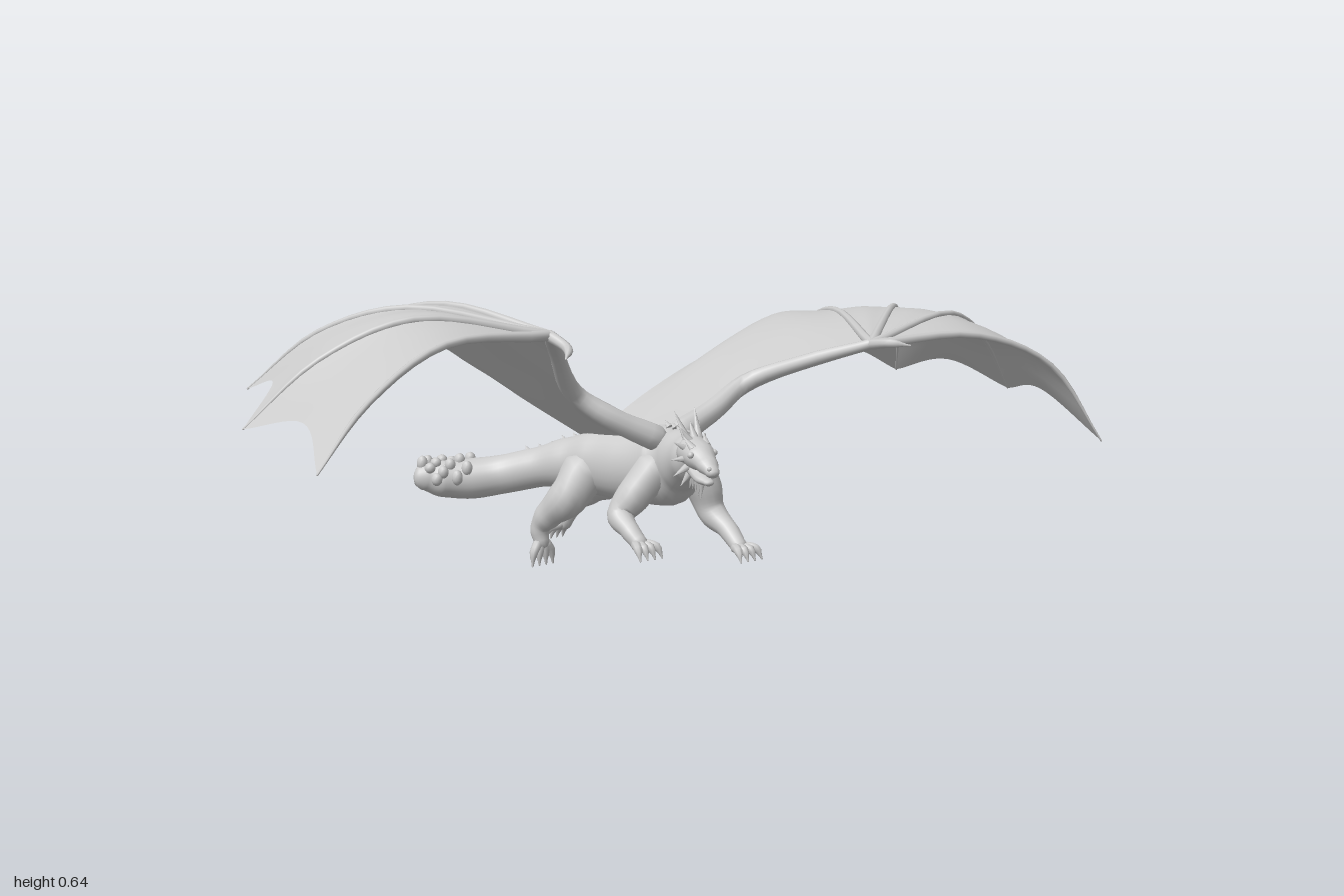
import * as THREE from 'three';

const grey = new THREE.MeshStandardMaterial({ color: 0xcccccc });
const thin = new THREE.MeshStandardMaterial({ color: 0xcccccc, side: THREE.DoubleSide });
const V = (p) => new THREE.Vector3(p[0], p[1], p[2]);
const spline = (pts) => new THREE.CatmullRomCurve3(pts.map(V));

function add(parent, name, geometry, material = grey) {
  const mesh = new THREE.Mesh(geometry, material);
  mesh.name = name;
  parent.add(mesh);
  return mesh;
}

// Smooth rounded body along a path; each point is [x, y, z, halfWidth, halfHeight]
function sweep(pts, sides = 14, perSpan = 5) {
  const curve = spline(pts), n = (pts.length - 1) * perSpan;
  const dir = V(pts[pts.length - 1]).sub(V(pts[0])).normalize();
  const ref = Math.abs(dir.y) > 0.6 ? new THREE.Vector3(1, 0, 0) : new THREE.Vector3(0, 1, 0);
  const size = (t, k) => {
    const f = t * (pts.length - 1), i = Math.min(Math.floor(f), pts.length - 2);
    const val = (p) => p[k] ?? p[3];
    return THREE.MathUtils.lerp(val(pts[i]), val(pts[i + 1]), THREE.MathUtils.smoothstep(f - i, 0, 1));
  };
  const rings = [];
  for (const a of [0, 0.35, 0.7]) rings.push([0, a, -1]);
  for (let i = 0; i <= n; i++) rings.push([i / n, 1, 0]);
  for (const a of [0.7, 0.35, 0]) rings.push([1, a, 1]);
  const pos = [], idx = [];
  rings.forEach(([t, scale, end], i) => {
    const w = size(t, 3), h = size(t, 4), tan = curve.getTangent(t);
    const s = ref.clone().cross(tan).normalize(), u = tan.clone().cross(s);
    const c = curve.getPoint(t).addScaledVector(tan, end * Math.min(w, h) * 0.75 * Math.sqrt(1 - scale * scale));
    for (let j = 0; j < sides; j++) {
      const a = (j / sides) * Math.PI * 2;
      const p = c.clone().addScaledVector(s, w * scale * Math.cos(a)).addScaledVector(u, h * scale * Math.sin(a));
      pos.push(p.x, p.y, p.z);
      if (i < rings.length - 1) {
        const k = (j + 1) % sides, A = i * sides, B = A + sides;
        idx.push(A + j, A + k, B + j, A + k, B + k, B + j);
      }
    }
  });
  return surface(pos, idx);
}

function surface(pos, idx) {
  const g = new THREE.BufferGeometry();
  g.setAttribute('position', new THREE.Float32BufferAttribute(pos, 3));
  g.setIndex(idx);
  g.computeVertexNormals();
  return g;
}

// Skin stretched between four edge curves (c0, c1 run in s; d0, d1 run in t)
function patch(c0, c1, d0, d1, sag, n = 16) {
  const pos = [], idx = [], corner = [c0(0), c0(1), c1(0), c1(1)];
  for (let i = 0; i <= n; i++) for (let j = 0; j <= n; j++) {
    const s = i / n, t = j / n;
    const p = c0(s).clone().multiplyScalar(1 - t).addScaledVector(c1(s), t)
      .addScaledVector(d0(t), 1 - s).addScaledVector(d1(t), s)
      .addScaledVector(corner[0], -(1 - s) * (1 - t)).addScaledVector(corner[1], -s * (1 - t))
      .addScaledVector(corner[2], -(1 - s) * t).addScaledVector(corner[3], -s * t);
    p.y -= sag * Math.sin(Math.PI * s) * Math.sin(Math.PI * t);
    pos.push(p.x, p.y, p.z);
    if (i < n && j < n) {
      const a = i * (n + 1) + j, b = a + n + 1;
      idx.push(a, b, a + 1, b, b + 1, a + 1);
    }
  }
  return surface(pos, idx);
}

// Pointed spike from a base point along a direction
function spike(parent, name, base, dir, length, radius) {
  const d = V(dir).normalize();
  const m = add(parent, name, new THREE.ConeGeometry(radius, length, 7));
  m.quaternion.setFromUnitVectors(new THREE.Vector3(0, 1, 0), d);
  m.position.copy(V(base)).addScaledVector(d, length * 0.45);
}

// Wing: arm runs wrist to shoulder, fingers fan out from the wrist, back edge runs in to the body
function wing(name, arm, thumb, fingers, trailing) {
  const g = new THREE.Group();
  g.name = name;
  const wrist = arm[0], curves = fingers.map((f) => spline([wrist, ...f]));
  const at = (c) => (t) => c.getPoint(t);
  const armCurve = spline(arm);
  const tip = fingers[0][fingers[0].length - 1], root = trailing[trailing.length - 1];
  const bodyLine = new THREE.LineCurve3(V(arm[arm.length - 1]), V(root));
  add(g, 'innerMembrane', patch(at(armCurve), at(spline([tip, ...trailing])), at(curves[0]), at(bodyLine), 0.01, 22), thin);
  for (let i = 0; i < curves.length - 1; i++) {
    const a = curves[i], b = curves[i + 1];
    const mid = a.getPoint(0.87).lerp(b.getPoint(0.87), 0.5);
    const edge = new THREE.CatmullRomCurve3([a.getPoint(1), mid, b.getPoint(1)]);
    add(g, 'outerMembrane', patch(() => V(wrist), at(edge), at(a), at(b), 0.016), thin);
  }
  const last = arm.length - 1;
  add(g, 'wingArm', sweep(arm.map((p, i) => [...p, 0.012 + 0.017 * i / last]), 10));
  fingers.forEach((f) => add(g, 'wingFinger',
    sweep([wrist, ...f].map((p, i) => [...p, [0.011, 0.008, 0.006, 0.002][i]]), 8)));
  add(g, 'thumbClaw', sweep([[...wrist, 0.012], [...thumb[0], 0.01], [...thumb[1], 0.002]], 8));
  return g;
}

// Leg with four spread toes and claws
function leg(name, pts, toeDir) {
  const g = new THREE.Group();
  g.name = name;
  add(g, 'limb', sweep(pts));
  const foot = V(pts[pts.length - 1]), d = V(toeDir).normalize();
  const across = new THREE.Vector3(1, 0, 0).addScaledVector(d, -d.x).normalize();
  for (let i = 0; i < 4; i++) {
    const k = (i - 1.5) / 1.5;
    const b = foot.clone().addScaledVector(across, k * 0.012);
    const m = b.clone().addScaledVector(d, 0.026).addScaledVector(across, k * 0.014);
    m.y += 0.008;
    const e = m.clone().addScaledVector(d, 0.015).addScaledVector(across, k * 0.005);
    e.y -= 0.016;
    add(g, 'toe', sweep([[...b, 0.011], [...m, 0.0095], [...e, 0.002]], 8, 3));
  }
  return g;
}

export function createModel() {
  const model = new THREE.Group();

  // Neck, trunk and tail in one smooth form
  const trunk = [
    [-0.06, 0.305, 0.17, 0.034, 0.036], [-0.035, 0.29, 0.125, 0.044, 0.05], [0, 0.273, 0.07, 0.056, 0.066],
    [0.02, 0.25, 0.01, 0.072, 0.088], [0.015, 0.235, -0.09, 0.069, 0.08], [0.005, 0.23, -0.18, 0.063, 0.073],
    [-0.012, 0.222, -0.25, 0.052, 0.057], [-0.04, 0.205, -0.325, 0.042, 0.045], [-0.08, 0.184, -0.4, 0.04, 0.044],
    [-0.13, 0.175, -0.45, 0.043, 0.046], [-0.18, 0.177, -0.489, 0.043, 0.042], [-0.222, 0.185, -0.51, 0.026, 0.03]];
  add(model, 'body', sweep(trunk, 24, 6));

  // Row of small spines along the back
  const back = spline(trunk), tops = spline(trunk.map((p) => [p[4], p[3], 0]));
  for (let i = 0; i < 18; i++) {
    const t = 0.1 + i * 0.033, p = back.getPoint(t), h = tops.getPoint(t).x;
    spike(model, 'backSpine', [p.x, p.y + h - 0.005, p.z], [0, 1, -1], 0.013 + 0.003 * (i % 3), 0.008);
  }

  // Knobs scattered over the tail club
  for (let i = 0; i < 18; i++) {
    const t = 0.81 + 0.19 * (i / 17), a = ((i * 0.382) % 1 - 0.5) * 3.2;
    const r = tops.getPoint(t), tan = back.getTangent(t);
    const side = new THREE.Vector3(0, 1, 0).cross(tan).normalize();
    const knob = add(model, 'tailKnob', new THREE.DodecahedronGeometry(0.0125, 1));
    knob.scale.set(1, 1 + 0.2 * (i % 3), 1);
    knob.position.copy(back.getPoint(t)).addScaledVector(side, r.y * Math.sin(a));
    knob.position.y += r.x * Math.cos(a);
  }

  // Head: skull, jaw, eyes, brow and crown of horns
  const head = new THREE.Group();
  head.name = 'head';
  model.add(head);
  add(head, 'skull', sweep([[-0.055, 0.312, 0.15, 0.036, 0.034], [-0.073, 0.31, 0.185, 0.034, 0.03],
    [-0.088, 0.298, 0.22, 0.023, 0.02], [-0.098, 0.286, 0.245, 0.015, 0.012]], 16));
  add(head, 'jaw', sweep([[-0.06, 0.285, 0.165, 0.026, 0.018], [-0.08, 0.267, 0.2, 0.02, 0.012],
    [-0.092, 0.262, 0.23, 0.011, 0.007]], 12));
  for (const s of [-1, 1]) {
    add(head, 'eye', new THREE.SphereGeometry(0.007, 12, 8)).position.set(-0.08 + s * 0.027, 0.317, 0.2 + s * 0.008);
    spike(head, 'browHorn', [-0.073 + s * 0.022, 0.33, 0.185], [s * 0.4 + 0.1, 1, -0.8], 0.033, 0.009);
    spike(head, 'crestHorn', [-0.052 + s * 0.016, 0.333, 0.15], [s * 0.25 + 0.1, 1, -0.5], 0.075, 0.011);
    add(head, 'nostril', new THREE.SphereGeometry(0.005, 8, 6)).position.set(-0.097 + s * 0.01, 0.295, 0.243);
  }
  for (let i = 0; i < 12; i++) {
    const a = (i / 12) * Math.PI * 2, c = Math.cos(a), s = Math.sin(a);
    spike(head, 'frillSpike', [-0.055 + c * 0.034, 0.304 + s * 0.036, 0.155 - c * 0.01], [c, s, -0.35], 0.04, 0.01);
  }
  for (let i = 0; i < 4; i++)
    spike(head, 'chinSpike', [-0.08 + i * 0.007, 0.265, 0.2 - i * 0.014], [0, -1, -0.1], 0.05 - 0.005 * i, 0.008);

  // Legs
  model.add(
    leg('leftFrontLeg', [[0.062, 0.253, 0.03, 0.042], [0.093, 0.2, 0.047, 0.04], [0.102, 0.142, 0.065, 0.031],
      [0.099, 0.111, 0.114, 0.022], [0.088, 0.081, 0.157, 0.018]], [-0.1, -0.38, 1]),
    leg('rightFrontLeg', [[-0.025, 0.25, 0.015, 0.042], [-0.063, 0.2, -0.005, 0.038], [-0.093, 0.155, -0.02, 0.03],
      [-0.108, 0.13, 0.02, 0.021], [-0.11, 0.106, 0.052, 0.018]], [-0.1, -0.5, 1]),
    leg('leftHindLeg', [[0.033, 0.225, -0.195, 0.052], [0.065, 0.18, -0.215, 0.046], [0.074, 0.145, -0.27, 0.033],
      [0.062, 0.105, -0.318, 0.023], [0.048, 0.057, -0.337, 0.017]], [-0.1, -0.7, -0.72]),
    leg('rightHindLeg', [[-0.028, 0.215, -0.19, 0.052], [-0.068, 0.16, -0.205, 0.044], [-0.084, 0.115, -0.25, 0.031],
      [-0.09, 0.083, -0.271, 0.022], [-0.09, 0.05, -0.266, 0.017]], [-0.05, -0.9, 0.1]));

  // Wings, each in its own stroke position; fingers run from the rear one to the leading one
  model.add(wing('leftWing',
    [[0.375, 0.5, 0.28], [0.315, 0.455, 0.15], [0.25, 0.4, 0.03], [0.15, 0.35, 0.02], [0.05, 0.315, 0.015]],
    [[0.371, 0.508, 0.335], [0.395, 0.504, 0.37]],
    [[[0.58, 0.528, 0.02], [0.7, 0.473, -0.15], [0.77, 0.345, -0.245]],
      [[0.68, 0.535, 0.11], [0.83, 0.472, 0.015], [0.935, 0.335, -0.065]],
      [[0.7, 0.53, 0.26], [0.87, 0.447, 0.24], [0.998, 0.315, 0.22]],
      [[0.62, 0.503, 0.39], [0.785, 0.425, 0.475], [0.878, 0.25, 0.555]]],
    [[0.62, 0.455, -0.2], [0.4, 0.425, -0.205], [0.2, 0.357, -0.22], [0.03, 0.285, -0.22]]));
  model.add(wing('rightWing',
    [[-0.4, 0.585, 0.085], [-0.29, 0.53, -0.01], [-0.17, 0.42, -0.08], [-0.1, 0.36, -0.03], [-0.02, 0.315, 0.015]],
    [[-0.405, 0.565, 0.14], [-0.44, 0.553, 0.17]],
    [[[-0.46, 0.63, -0.15], [-0.485, 0.573, -0.37], [-0.51, 0.44, -0.558]],
      [[-0.56, 0.633, -0.15], [-0.65, 0.578, -0.32], [-0.72, 0.455, -0.465]],
      [[-0.63, 0.628, -0.05], [-0.785, 0.558, -0.145], [-0.905, 0.43, -0.23]],
      [[-0.65, 0.593, 0.062], [-0.85, 0.51, 0.075], [-0.998, 0.408, 0.112]]],
    [[-0.34, 0.53, -0.415], [-0.2, 0.447, -0.355], [-0.1, 0.365, -0.295], [-0.01, 0.288, -0.22]]));
  return model;
}
